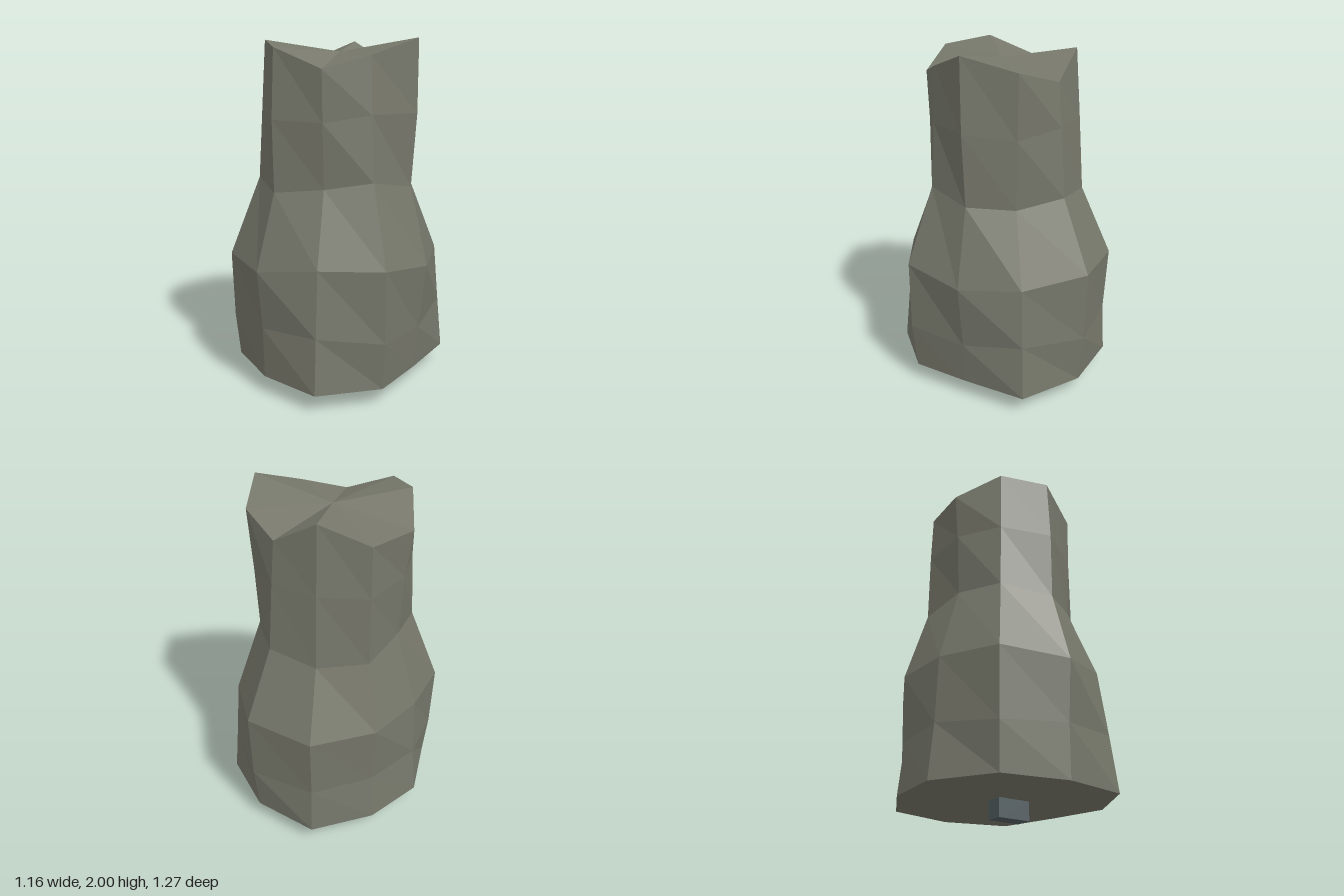
import * as THREE from 'three';

// Each ring runs anticlockwise from the front in equal steps: radii r, heights y
const RINGS = [
  { r: [.58, .64, .588, .505, .64, .62, .648, .578, .60, .62], y: [.105, .105, .105, .105, .105, .105, .105, .105, .105, .105] },
  { r: [.585, .605, .615, .525, .61, .645, .63, .55, .568, .645], y: [.4, .42, .38, .36, .42, .39, .4, .4, .41, .36] },
  { r: [.615, .56, .615, .57, .58, .655, .648, .578, .552, .655], y: [.74, .79, .79, .74, .76, .8, .78, .78, .78, .75] },
  { r: [.485, .405, .45, .46, .42, .47, .47, .463, .415, .475], y: [1.17, 1.2, 1.24, 1.19, 1.17, 1.21, 1.18, 1.18, 1.23, 1.21] },
  { r: [.49, .425, .425, .489, .435, .435, .44, .463, .437, .45], y: [1.57, 1.56, 1.6, 1.6, 1.56, 1.6, 1.6, 1.58, 1.6, 1.6] },
  { r: [.47, .434, .41, .489, .457, .41, .41, .457, .468, .425], y: [1.95, 1.84, 1.91, 2.0, 1.915, 1.84, 1.985, 1.87, 1.87, 1.99] },
];
const SIDES = 10;
const CX = -0.01, CZ = 0.02;

// Faceted rock column lofted through the rings, closed by two fans
function rockGeometry() {
  const positions = [], index = [];
  for (const { r, y } of RINGS) {
    for (let k = 0; k < SIDES; k++) {
      const a = (k / SIDES) * Math.PI * 2;
      positions.push(CX + r[k] * Math.sin(a), y[k], CZ + r[k] * Math.cos(a));
    }
  }
  const topRow = (RINGS.length - 1) * SIDES;
  const bottomCentre = RINGS.length * SIDES, topCentre = bottomCentre + 1;
  positions.push(CX, 0.105, CZ, CX, 1.925, CZ);

  for (let k = 0; k < SIDES; k++) {
    const n = (k + 1) % SIDES;
    for (let row = 0; row < topRow; row += SIDES) {
      const a = row + k, b = row + n, c = b + SIDES, d = a + SIDES;
      index.push(a, b, d, b, c, d);
    }
    index.push(topCentre, topRow + k, topRow + n);
    index.push(bottomCentre, n, k);
  }
  const indexed = new THREE.BufferGeometry();
  indexed.setAttribute('position', new THREE.Float32BufferAttribute(positions, 3));
  indexed.setIndex(index);
  const geometry = indexed.toNonIndexed();
  geometry.computeVertexNormals();
  return geometry;
}

export function createModel() {
  const group = new THREE.Group();
  group.name = 'rockPillar';

  const stone = new THREE.MeshStandardMaterial({ color: 0x77786b });
  stone.name = 'stone';
  const slate = new THREE.MeshStandardMaterial({ color: 0x556063 });
  slate.name = 'slate';

  const rock = new THREE.Mesh(rockGeometry(), stone);
  rock.name = 'rockColumn';
  group.add(rock);

  // Small block under the column
  const peg = new THREE.Mesh(new THREE.BoxGeometry(0.195, 0.105, 0.1), slate);
  peg.name = 'basePeg';
  peg.position.set(-0.01, 0.0525, 0.077);
  group.add(peg);

  return group;
}
